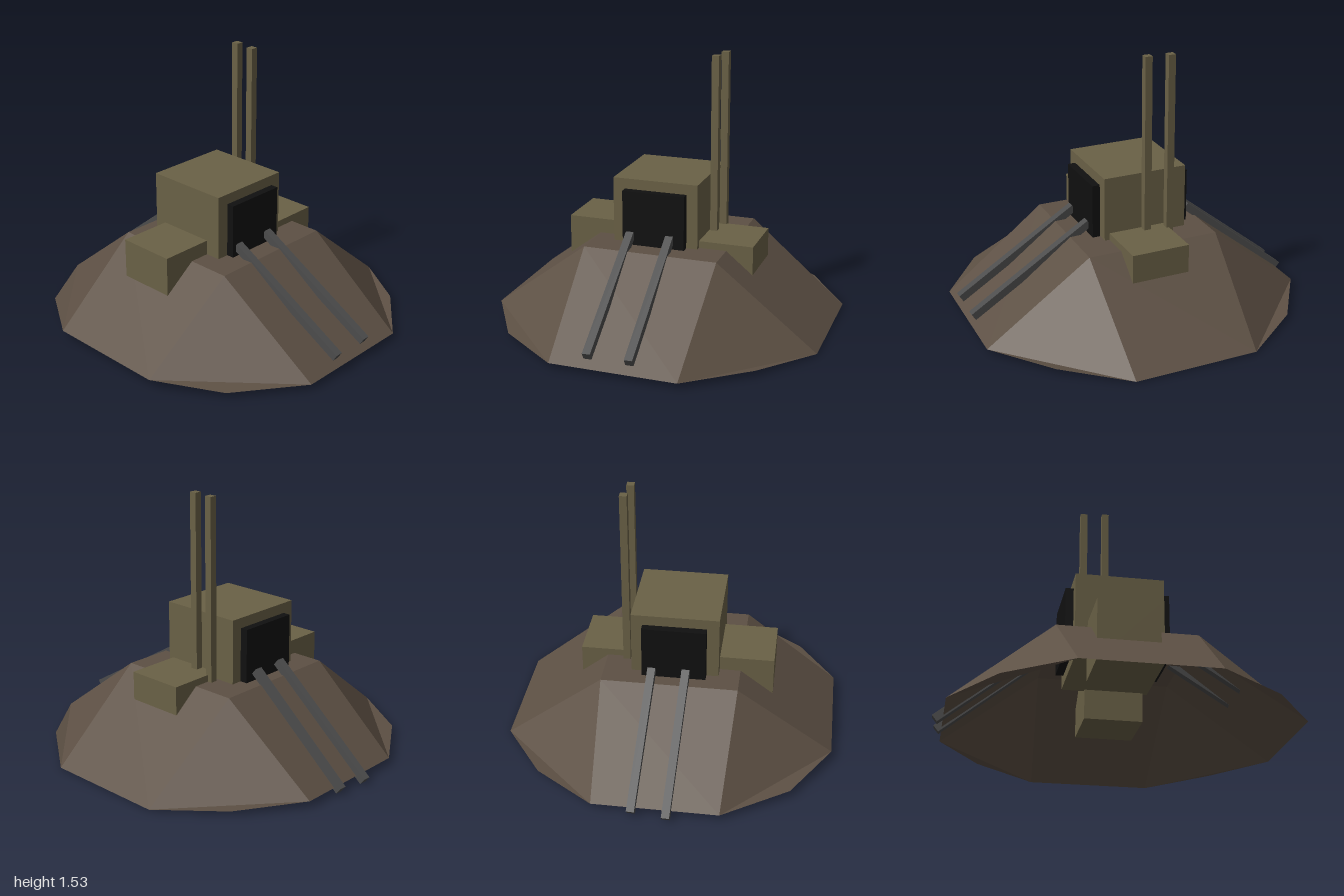
import * as THREE from 'three';

const mat = (color, extra = {}) => new THREE.MeshStandardMaterial({ color, flatShading: true, ...extra });

export function createModel() {
  const group = new THREE.Group();
  const earth = mat(0x5d5044, { side: THREE.DoubleSide });
  const olive = mat(0x6a6146);
  const black = mat(0x101010);
  const steel = mat(0x4c4c4c);

  const add = (name, geometry, material) => {
    const mesh = new THREE.Mesh(geometry, material);
    mesh.name = name;
    group.add(mesh);
    return mesh;
  };

  // Box given by its two opposite corners
  const box = (name, [x0, y0, z0], [x1, y1, z1], material) => {
    const mesh = add(name, new THREE.BoxGeometry(x1 - x0, y1 - y0, z1 - z0), material);
    mesh.position.set((x0 + x1) / 2, (y0 + y1) / 2, (z0 + z1) / 2);
  };

  // Square bar between two points
  const bar = (name, a, b) => {
    const start = new THREE.Vector3(...a), end = new THREE.Vector3(...b);
    const mesh = add(name, new THREE.BoxGeometry(0.045, 0.045, start.distanceTo(end)), steel);
    mesh.position.copy(start).add(end).multiplyScalar(0.5);
    mesh.lookAt(end);
  };

  // Mound: hollow shell, flat rectangular top and a 12-sided rim
  const top = [[0.38, 0.48, 0.39], [0.38, 0.48, -0.39], [-0.4, 0.48, -0.39], [-0.4, 0.48, 0.39]];
  // Three rim points for each corner, anticlockwise seen from above
  const rim = [
    [[0.36, 0.04, 0.99], [0.7, 0.04, 0.72], [0.95, 0.015, 0.37]],
    [[0.95, 0.015, -0.35], [0.7, 0.035, -0.7], [0.35, 0.045, -0.94]],
    [[-0.36, 0.045, -0.94], [-0.73, 0.05, -0.7], [-0.95, 0.065, -0.35]],
    [[-0.95, 0.065, 0.37], [-0.73, 0.04, 0.72], [-0.36, 0.04, 0.99]],
  ];
  const points = [];
  const tri = (...p) => points.push(...p.flat());
  tri(top[0], top[1], top[2]);
  tri(top[0], top[2], top[3]);
  for (let i = 0; i < 4; i++) {
    const j = (i + 1) % 4;
    const [a, mid, b] = rim[i];
    tri(top[i], a, b);
    tri(a, mid, b);
    tri(top[i], b, rim[j][0]);
    tri(top[i], rim[j][0], top[j]);
  }
  const shell = new THREE.BufferGeometry();
  shell.setAttribute('position', new THREE.Float32BufferAttribute(points, 3));
  shell.computeVertexNormals();
  add('mound', shell, earth);

  // Main block, side blocks and the dark doorways
  box('mainBlock', [-0.28, 0.355, -0.27], [0.22, 0.855, 0.23], olive);
  box('leftBlock', [0.195, 0.18, -0.14], [0.535, 0.52, 0.2], olive);
  box('rightBlock', [-0.59, 0.225, -0.2], [-0.25, 0.565, 0.14], olive);
  box('frontDoorway', [-0.21, 0.415, 0.2], [0.155, 0.795, 0.275], black);
  box('backDoorway', [-0.21, 0.415, -0.315], [0.155, 0.795, -0.24], black);

  // Two tall masts on the left block
  for (const [x, z] of [[0.246, -0.016], [0.264, -0.146]]) {
    box('mast', [x - 0.021, 0.45, z - 0.021], [x + 0.021, 1.54, z + 0.021], olive);
  }

  // Sloping rails in pairs, front and back
  bar('frontRail', [-0.165, 0.54, 0.27], [-0.14, 0.11, 0.985]);
  bar('frontRail', [0.07, 0.54, 0.27], [0.095, 0.11, 0.985]);
  bar('backRail', [-0.1, 0.545, -0.33], [-0.072, 0.025, -0.985]);
  bar('backRail', [0.093, 0.545, -0.335], [0.122, 0.035, -0.97]);

  return group;
}
